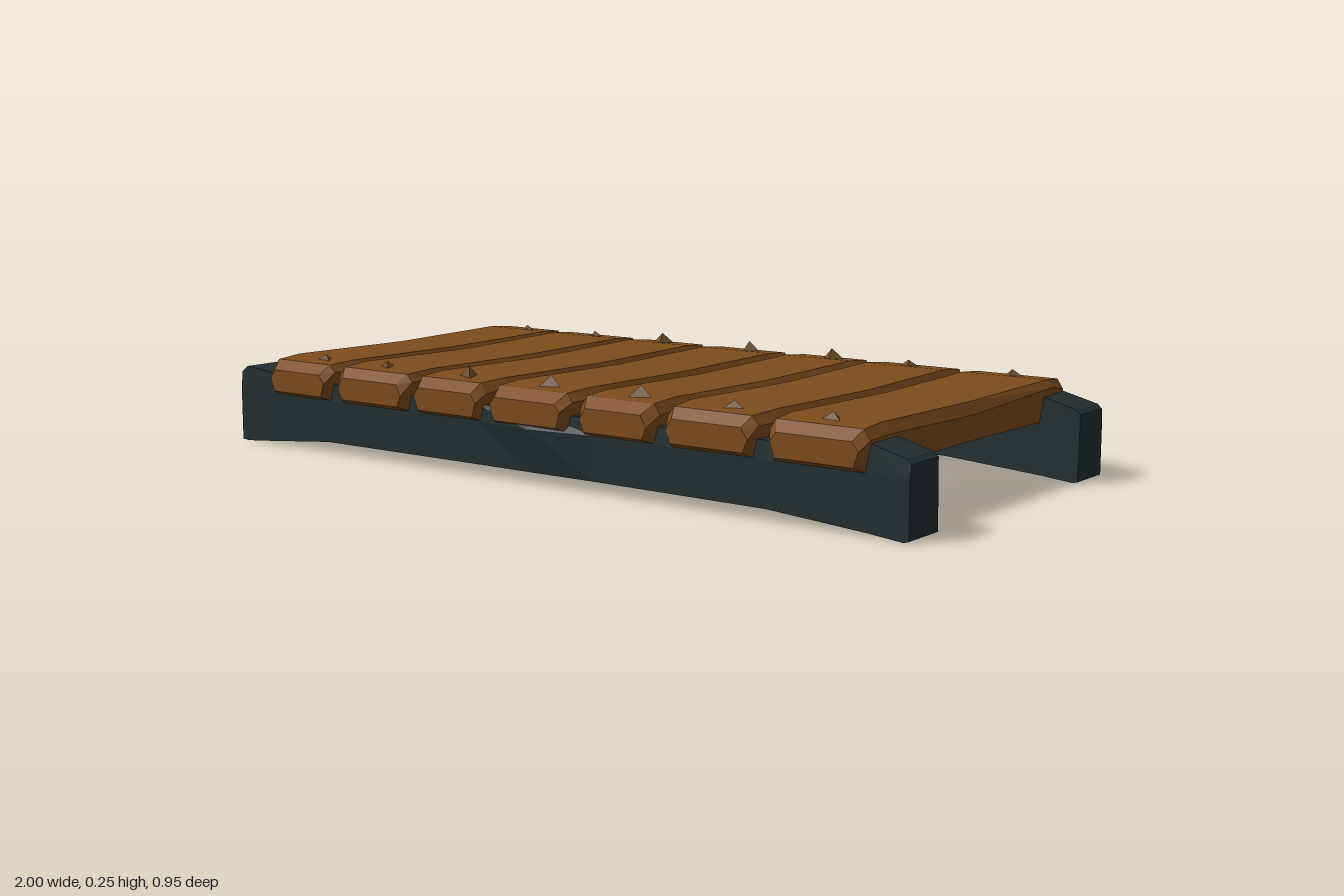
import * as THREE from 'three';

const wood = new THREE.MeshStandardMaterial({ color: 0x7d4c1d, flatShading: true });
const chipWood = new THREE.MeshStandardMaterial({ color: 0x70502f, flatShading: true });
const darkWood = new THREE.MeshStandardMaterial({ color: 0x232f30, flatShading: true });

// Small seeded wobble for the hand-hewn look
let seed = 7;
function wobble(amount) {
  seed = (seed * 16807) % 2147483647;
  return (seed / 2147483647 - 0.5) * 2 * amount;
}

// Skin closed rings of [x, y, z] corners (anticlockwise seen from +z) and cap both ends
function loft(rings) {
  const n = rings[0].length;
  const index = [];
  for (let i = 0; i < rings.length - 1; i++) {
    for (let j = 0; j < n; j++) {
      const a = i * n + j, b = i * n + (j + 1) % n;
      index.push(a, b, b + n, a, b + n, a + n);
    }
  }
  const last = (rings.length - 1) * n;
  for (let j = 1; j < n - 1; j++) {
    index.push(0, j + 1, j, last, last + j, last + j + 1);
  }
  const geometry = new THREE.BufferGeometry();
  geometry.setAttribute('position', new THREE.Float32BufferAttribute(rings.flat(2), 3));
  geometry.setIndex(index);
  const flat = geometry.toNonIndexed();
  flat.computeVertexNormals();
  return flat;
}

// Cross-bar plank: bevelled top edges, tapered ends, slightly raised near the ends
function plank(x0, x1) {
  // z, inset at the sides, bottom, top
  const stations = [
    [-0.472, 0.018, 0.15, 0.205], [-0.445, 0.004, 0.138, 0.229], [-0.37, 0, 0.138, 0.235],
    [0, 0.003, 0.14, 0.229],
    [0.37, 0, 0.138, 0.234], [0.445, 0.004, 0.138, 0.229], [0.472, 0.018, 0.15, 0.205],
  ];
  const rings = stations.map(([z, inset, bottom, top]) => {
    const l = x0 + inset + wobble(0.004), r = x1 - inset + wobble(0.004);
    const shoulder = top - 0.022 + wobble(0.005);
    const zz = z + wobble(0.003);
    return [
      [l + 0.012, bottom, zz], [r - 0.012, bottom, zz],
      [r, shoulder, zz], [r - 0.016, top, zz],
      [l + 0.016, top, zz], [l, shoulder, zz],
    ];
  });
  return new THREE.Mesh(loft(rings), wood);
}

// Raised three-sided splinter on a plank end
function splinter(x, z, peak) {
  const geometry = new THREE.ConeGeometry(0.045, peak - 0.22, 3);
  geometry.rotateY(z > 0 ? Math.PI : 0);
  geometry.scale(1, 1, 0.75);
  const mesh = new THREE.Mesh(geometry, chipWood);
  mesh.position.set(x, (peak + 0.22) / 2, z);
  mesh.rotation.y = wobble(0.4);
  mesh.name = 'splinter';
  return mesh;
}

// Long runner: thick ends that hang lower than the middle
function runner(side) {
  // x, bottom, top, outward bulge at mid height
  const stations = [
    [-0.998, 0.008, 0.185, 0], [-0.98, 0.005, 0.2, 0], [-0.89, 0.013, 0.192, 0],
    [-0.68, 0.033, 0.18, 0], [-0.18, 0.034, 0.178, 0], [0, 0.034, 0.178, 0.022],
    [0.18, 0.034, 0.178, 0], [0.65, 0.032, 0.18, 0], [0.9, 0.013, 0.2, 0],
    [0.985, 0.005, 0.178, 0], [0.998, 0.009, 0.168, 0],
  ];
  const rings = stations.map(([x, bottom, top, bulge]) => {
    const inner = 0.328 + wobble(0.003), outer = 0.449 + wobble(0.002);
    const belly = outer + (side > 0 ? bulge : 0);
    const ring = [
      [inner, bottom, x], [outer, bottom, x], [belly, 0.138, x],
      [outer - 0.004, top, x], [inner + 0.004, top, x],
    ];
    return side > 0 ? ring.map(([u, y, s]) => [-u, y, s]).reverse() : ring;
  });
  const mesh = new THREE.Mesh(loft(rings), darkWood);
  mesh.rotation.y = Math.PI / 2;
  return mesh;
}

export function createModel() {
  const model = new THREE.Group();
  model.name = 'plankWalkway';

  for (const side of [1, -1]) {
    const rail = runner(side);
    rail.name = side > 0 ? 'frontRunner' : 'backRunner';
    model.add(rail);
  }

  // Planks: left edge, right edge, height of their splinters
  const planks = [
    [-0.88, -0.65, 0.245], [-0.64, -0.385, 0.246], [-0.372, -0.142, 0.258],
    [-0.128, 0.12, 0.258], [0.138, 0.365, 0.259], [0.38, 0.632, 0.248], [0.65, 0.905, 0.249],
  ];
  planks.forEach(([x0, x1, peak], i) => {
    const group = new THREE.Group();
    group.name = `plank${i + 1}`;
    const board = plank(x0, x1);
    board.name = 'board';
    group.add(board);
    const centre = (x0 + x1) / 2 + 0.01;
    for (const z of [0.395, -0.395]) {
      group.add(splinter(centre + wobble(0.02), z, peak));
    }
    model.add(group);
  });

  return model;
}
